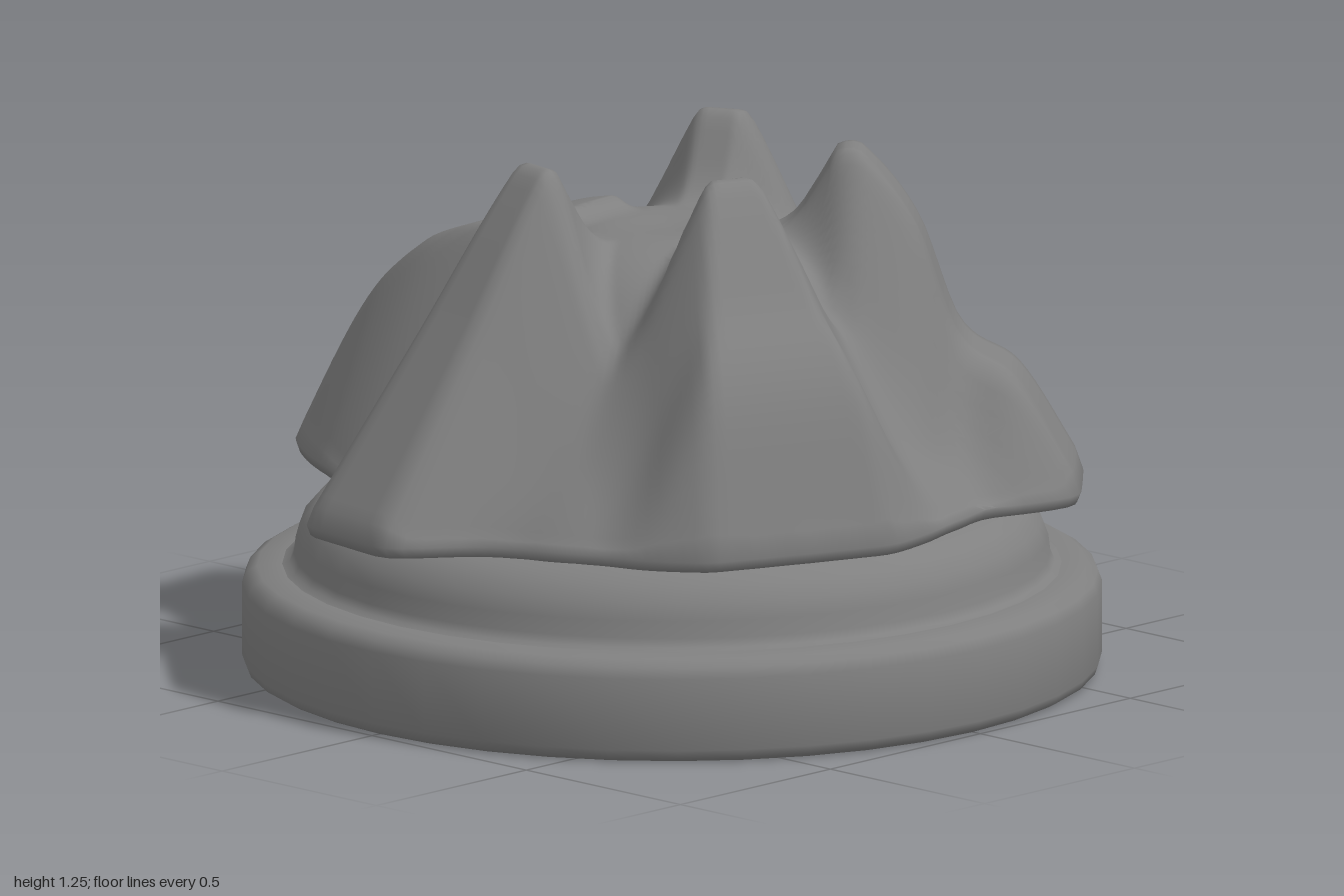
import * as THREE from 'three';
import { toCreasedNormals } from 'three/addons/utils/BufferGeometryUtils.js';

const RIM = 0.43; // height of the crown's lower edge

// Ridges: inner and outer crest points [x, z], half widths there, [t, height] along the crest
const RIDGES = [
  { a: [-0.06, 0.37], b: [-0.15, 0.94], w: [0.04, 0.13], crest: [[0, 1.25], [0.08, 1.23], [0.5, 0.88], [1, 0.47]] }, // front
  { a: [0.34, 0.165], b: [0.73, 0.32], w: [0.04, 0.22], crest: [[0, 1.25], [0.1, 1.23], [0.45, 1.0], [0.78, 0.79], [1, 0.47]] }, // left
  { a: [0.27, -0.28], b: [0.68, -0.66], w: [0.04, 0.13], crest: [[0, 1.24], [0.1, 1.23], [0.33, 1.06], [0.5, 0.81], [0.75, 0.7], [1, 0.47]] }, // back left
  { a: [-0.15, -0.31], b: [-0.42, -0.86], w: [0.04, 0.14], crest: [[0, 1.25], [0.1, 1.23], [0.5, 0.9], [1, 0.47]] }, // back right
  { a: [-0.2, 0.06], b: [-0.95, 0.11], w: [0.08, 0.16], crest: [[0, 1.06], [0.25, 1.03], [0.5, 0.97], [0.67, 0.87], [0.8, 0.74], [1, 0.47]] }, // right
];
const CORE = [[0, 1.05], [0.2, 1.05], [0.35, 0.98], [0.5, 0.8], [0.64, 0.62], [0.79, 0.42], [1.1, -0.1]];

// Smooth curve through [t, value] points
function interpolate(points, t) {
  const last = points.length - 1;
  if (t <= points[0][0]) return points[0][1];
  if (t >= points[last][0]) return points[last][1];
  const slope = (i) => {
    const p = points[Math.max(i - 1, 0)], q = points[Math.min(i + 1, last)];
    return (q[1] - p[1]) / (q[0] - p[0]);
  };
  const i = points.findIndex((p) => p[0] > t) - 1;
  const [t0, v0] = points[i], [t1, v1] = points[i + 1];
  const d = t1 - t0, u = (t - t0) / d, ease = u * u * (3 - 2 * u);
  return v0 + (v1 - v0) * ease
    + d * u * (1 - u) * (slope(i) * (1 - u) - slope(i + 1) * u);
}

function smoothMax(a, b, k) {
  const h = Math.max(k - Math.abs(a - b), 0) / k;
  return Math.max(a, b) + h * h * k * 0.25;
}

// Height of one ridge: crest profile, falling away at its sides and ends
function ridgeHeight({ a, b, w, crest }, x, z) {
  const dx = b[0] - a[0], dz = b[1] - a[1], len = Math.hypot(dx, dz);
  const along = ((x - a[0]) * dx + (z - a[1]) * dz) / len;
  const across = Math.abs((x - a[0]) * dz - (z - a[1]) * dx) / len;
  const t = THREE.MathUtils.clamp(along / len, 0, 1);
  const side = Math.max(0, across - (w[0] + (w[1] - w[0]) * t));
  const soft = side * side / (side + 0.02);
  return interpolate(crest, t) - 2.1 * soft
    - 1.7 * Math.max(0, -along) - 5 * Math.max(0, along - len);
}

function crownHeight(x, z) {
  let y = interpolate(CORE, Math.hypot(x, z));
  for (const ridge of RIDGES) y = smoothMax(y, ridgeHeight(ridge, x, z), 0.12);
  return y;
}

// Crown: polar height surface out to the rim, then a lip and an underside
function crownGeometry() {
  const segments = 180, rings = 52;
  const outline = [];
  for (let j = 0; j < segments; j++) {
    const angle = j / segments * Math.PI * 2;
    let r = 1;
    while (r > 0.6 && crownHeight(r * Math.cos(angle), r * Math.sin(angle)) < RIM) r -= 0.003;
    outline.push(r);
  }
  const rim = outline.map((r, j) =>
    (outline[(j + segments - 1) % segments] + 2 * r + outline[(j + 1) % segments]) / 4);

  const positions = [], indices = [];
  const rows = rings + 3;
  for (let i = 0; i < rows; i++) {
    for (let j = 0; j < segments; j++) {
      const angle = j / segments * Math.PI * 2;
      const c = Math.cos(angle), s = Math.sin(angle);
      let r = rim[j] * Math.min(i / rings, 1);
      let y = Math.max(RIM, crownHeight(r * c, r * s));
      if (i === rings) y = RIM + 0.01;
      if (i === rings + 1) { r -= 0.01; y = RIM - 0.015; }
      if (i === rings + 2) { r = 0.68; y = RIM - 0.01; }
      positions.push(r * c, y, r * s);
      if (i < rows - 1) {
        const k = (j + 1) % segments, p = i * segments, q = p + segments;
        if (i > 0) indices.push(p + j, p + k, q + j);
        indices.push(p + k, q + k, q + j);
      }
    }
  }
  const geometry = new THREE.BufferGeometry();
  geometry.setAttribute('position', new THREE.Float32BufferAttribute(positions, 3));
  geometry.setIndex(indices);
  return toCreasedNormals(geometry, 1.4);
}

function turned(profile) {
  const points = profile.map(([r, y]) => new THREE.Vector2(r, y));
  return toCreasedNormals(new THREE.LatheGeometry(points, 40), 0.8);
}

export function createModel() {
  const group = new THREE.Group();
  const material = new THREE.MeshStandardMaterial({ color: 0x808080 });
  const add = (name, geometry) => {
    const mesh = new THREE.Mesh(geometry, material);
    mesh.name = name;
    group.add(mesh);
  };

  // Round plinth with softened edges
  add('base', turned([[0, 0], [0.975, 0], [0.993, 0.01], [1, 0.03], [1, 0.2], [0.99, 0.225], [0.965, 0.24], [0.9, 0.245], [0, 0.245]]));
  // Stepped collar under the crown
  add('collar', turned([[0.92, 0.24], [0.89, 0.25], [0.88, 0.27], [0.875, 0.31], [0.86, 0.35], [0.83, 0.385], [0.8, 0.405], [0.76, 0.42], [0, 0.42]]));
  // Five-ridged top
  add('crown', crownGeometry());
  return group;
}
